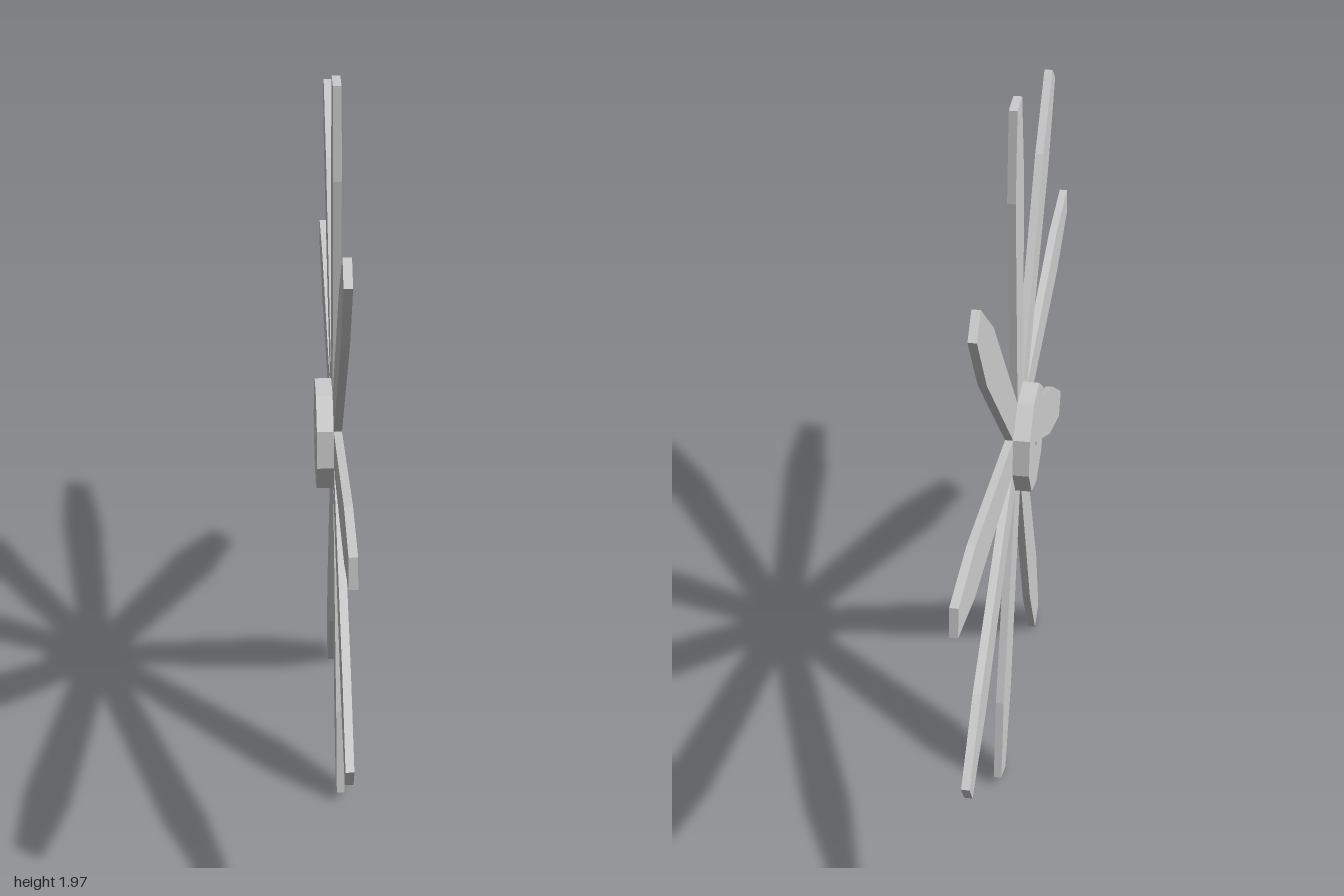
import * as THREE from 'three';

const BLADES = 9;
const STEP = (Math.PI * 2) / BLADES;
const CENTRE_Y = 0.961;
const ROOT_R = 0.152; // hub corners, where neighbouring blades meet
const BORE_R = 0.026;

// point at distance r along a blade and w across it, angle clockwise from up
const bladePoint = (angle, r, w) => new THREE.Vector2(
  r * Math.sin(angle) + w * Math.cos(angle),
  r * Math.cos(angle) - w * Math.sin(angle)
);

const ring = (r, n, offset) => Array.from({ length: n }, (_, i) =>
  bladePoint(offset + (i * Math.PI * 2) / n, r, 0));

// extrude an outline with the axle bore along x, from x0 to x1
function plate(name, points, x0, x1, material) {
  const shape = new THREE.Shape(points);
  shape.holes.push(new THREE.Path(ring(BORE_R, 12, 0)));
  const geometry = new THREE.ExtrudeGeometry(shape, { depth: x1 - x0, bevelEnabled: false });
  geometry.rotateY(Math.PI / 2).translate(x0, CENTRE_Y, 0);
  const mesh = new THREE.Mesh(geometry, material);
  mesh.name = name;
  return mesh;
}

export function createModel() {
  const group = new THREE.Group();
  group.name = 'windWheel';
  const grey = new THREE.MeshStandardMaterial({ color: 0xcccccc });
  grey.name = 'light grey';

  // nine blades: widening from the root, then tapering to a blunt tip
  const outline = [];
  for (let i = 0; i < BLADES; i++) {
    const a = i * STEP;
    outline.push(
      bladePoint(a - STEP / 2, ROOT_R, 0),
      bladePoint(a, 0.766, -0.073),
      bladePoint(a, 1.0085, -0.04),
      bladePoint(a, 1.0085, 0.04),
      bladePoint(a, 0.766, 0.073)
    );
  }
  group.add(plate('blades', outline, 0.011, 0.033, grey));

  // nine-sided hub behind the blades
  group.add(plate('hub', ring(ROOT_R, BLADES, STEP / 2), -0.034, 0.011, grey));

  return group;
}
